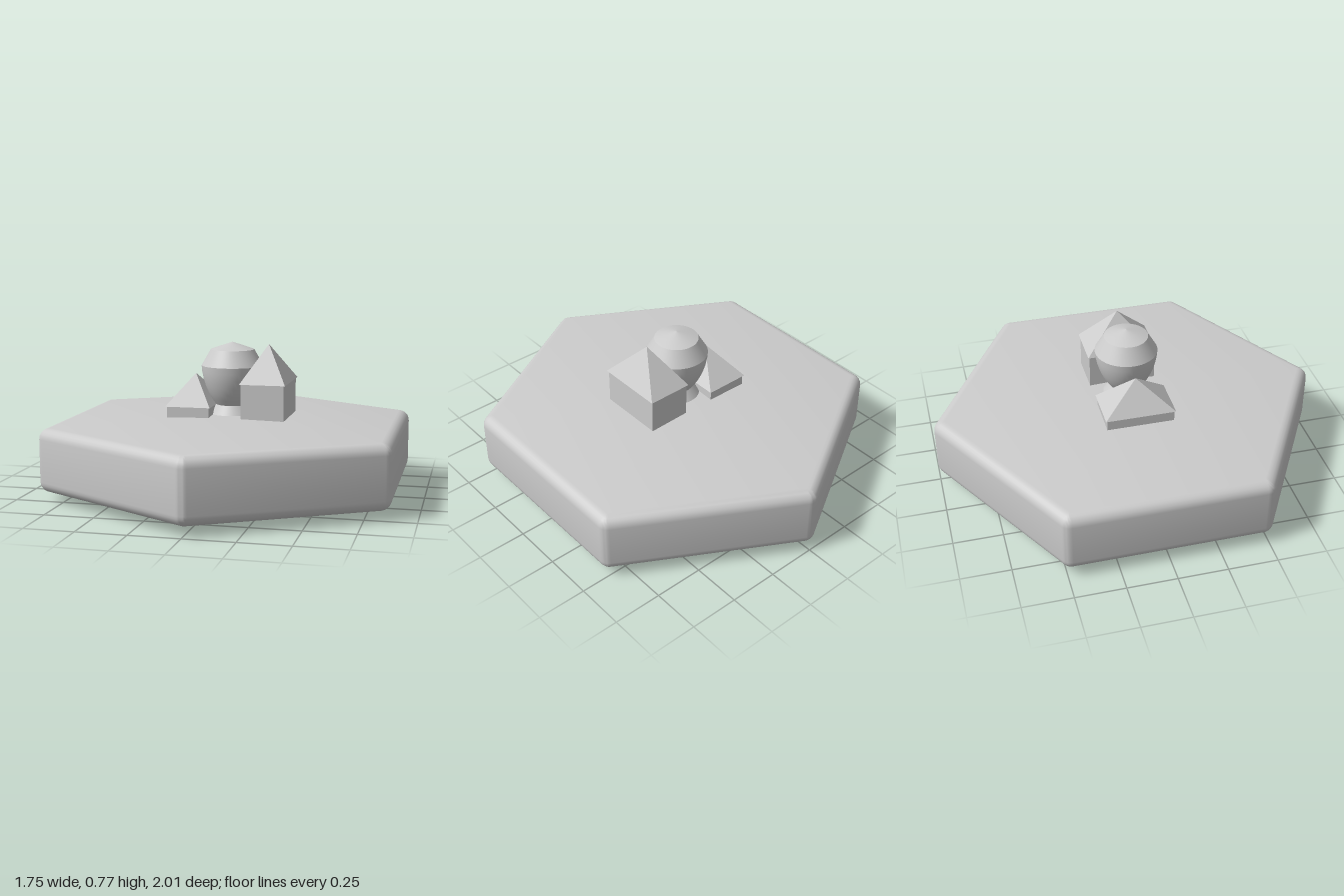
import * as THREE from 'three';
import { toCreasedNormals } from 'three/addons/utils/BufferGeometryUtils.js';

const smooth = new THREE.MeshStandardMaterial({ color: 0xcccccc });
const flat = new THREE.MeshStandardMaterial({ color: 0xcccccc, flatShading: true });

function part(parent, name, geometry, material = smooth) {
  const mesh = new THREE.Mesh(geometry, material);
  mesh.name = name;
  parent.add(mesh);
  return mesh;
}

// Hexagon with rounded corners and edges; each level is [core scale, offset, y]
function roundedHexGeometry(apothem, r, y0, y1, apex) {
  const core = (apothem - r) * 2 / Math.sqrt(3), steps = 6;
  const levels = [[0, 0, y0]];
  for (let i = 0; i <= steps; i++) {
    const t = (i / steps) * Math.PI / 2;
    levels.push([1, r * Math.sin(t), y0 + r * (1 - Math.cos(t))]);
  }
  for (let i = 0; i <= steps; i++) {
    const t = (i / steps) * Math.PI / 2;
    levels.push([1, r * Math.cos(t), y1 - r * (1 - Math.sin(t))]);
  }
  levels.push([0, 0, apex]);

  const positions = [], index = [], ring = 6 * (steps + 1);
  for (const [scale, offset, y] of levels) {
    for (let k = 0; k < 6; k++) {
      const corner = k * Math.PI / 3;
      for (let s = 0; s <= steps; s++) {
        const a = corner + (s / steps - 0.5) * Math.PI / 3;
        positions.push(
          scale * core * Math.sin(corner) + offset * Math.sin(a), y,
          scale * core * Math.cos(corner) + offset * Math.cos(a));
      }
    }
  }
  for (let i = 0; i < levels.length - 1; i++) {
    for (let j = 0; j < ring; j++) {
      const a = i * ring + j, b = i * ring + (j + 1) % ring;
      index.push(a, b, a + ring, b, b + ring, a + ring);
    }
  }
  const geometry = new THREE.BufferGeometry();
  geometry.setAttribute('position', new THREE.Float32BufferAttribute(positions, 3));
  geometry.setIndex(index);
  return toCreasedNormals(geometry, Math.PI / 6);
}

function lathe(points) {
  const profile = points.map(([x, y]) => new THREE.Vector2(x, y));
  return toCreasedNormals(new THREE.LatheGeometry(profile, 48), Math.PI / 7);
}

// Box walls under a four-sided pyramid roof with a slight overhang
function house(parent, name, x, eaves, peak) {
  const group = new THREE.Group();
  group.name = name;
  group.position.x = x;
  parent.add(group);
  const bottom = 0.35;
  part(group, 'walls', new THREE.BoxGeometry(0.22, eaves - bottom, 0.345), flat)
    .position.y = (eaves + bottom) / 2;
  const roof = new THREE.ConeGeometry(Math.SQRT1_2, 1, 4).toNonIndexed();
  roof.rotateY(Math.PI / 4);
  roof.scale(0.235, peak - eaves, 0.36);
  roof.computeVertexNormals();
  part(group, 'roof', roof, flat).position.y = (eaves + peak) / 2;
}

export function createModel() {
  const model = new THREE.Group();
  model.name = 'hexagonalTile';

  // Tile body with a very shallow raised top
  part(model, 'base', roundedHexGeometry(0.876, 0.055, 0.045, 0.37, 0.408));

  // Round foot with a softened lower rim
  part(model, 'foot', lathe([
    [0, 0], [0.34, 0], [0.35, 0.002], [0.358, 0.008], [0.363, 0.015], [0.365, 0.024], [0.365, 0.06],
  ]));

  // Central tower: flared skirt, swelling body, sloped shoulder and cap
  part(model, 'tower', lathe([
    [0.13, 0.385], [0.085, 0.45], [0.105, 0.478], [0.122, 0.508], [0.138, 0.545],
    [0.15, 0.585], [0.157, 0.62], [0.16, 0.652], [0.112, 0.735], [0, 0.773],
  ]));

  house(model, 'tallHouse', 0.192, 0.575, 0.765);
  house(model, 'lowHouse', -0.195, 0.45, 0.605);
  return model;
}
